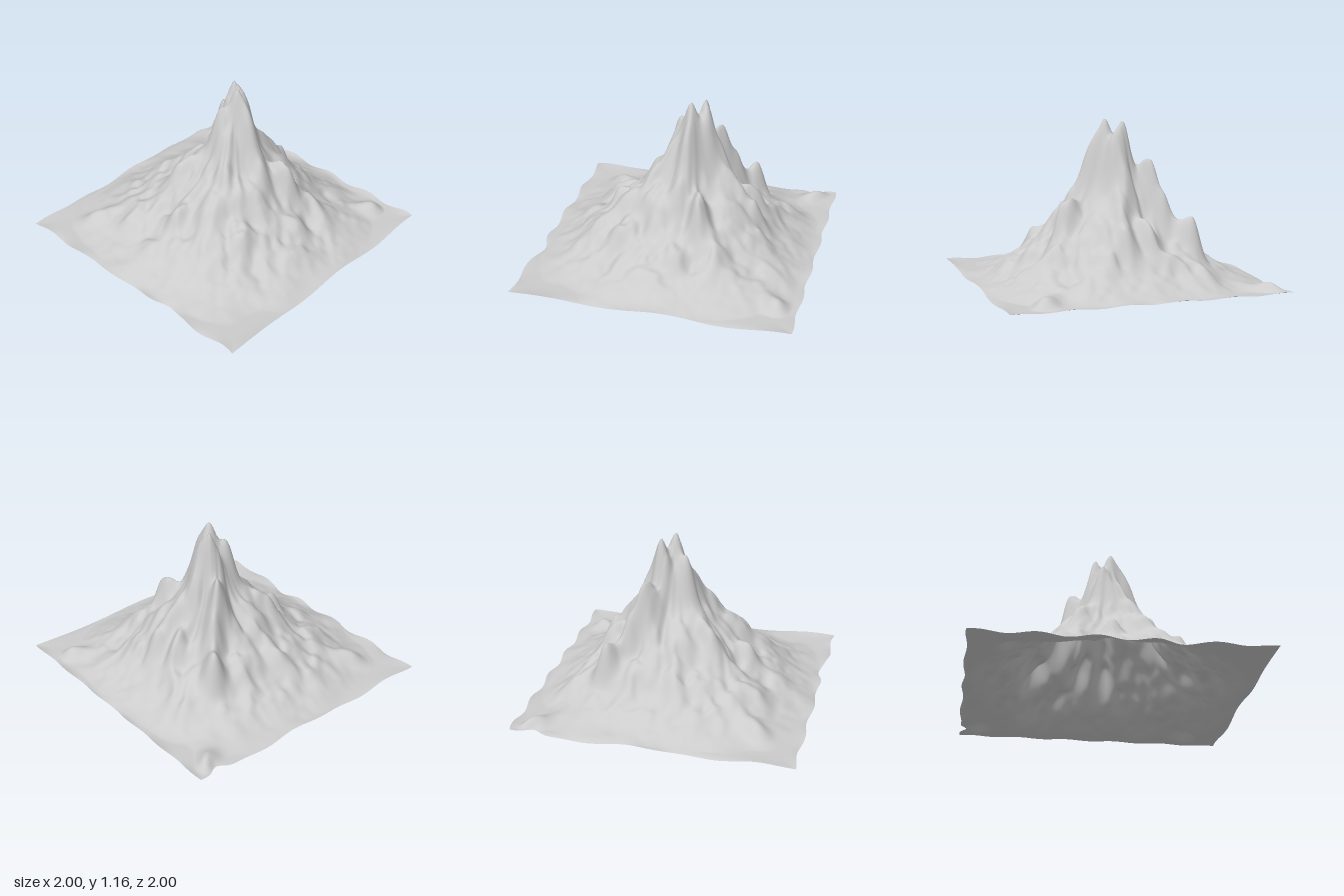
import * as THREE from 'three';

const CX = 0.06, CZ = 0.03; // centre of the massif

// Seeded lattice noise, smooth, in -1..1
function hash(i, j) {
  let h = Math.imul(i, 374761393) + Math.imul(j, 668265263) + 1013;
  h = Math.imul(h ^ (h >>> 13), 1274126177);
  return ((h ^ (h >>> 16)) >>> 0) / 2147483648 - 1;
}
function noise(x, y) {
  const i = Math.floor(x), j = Math.floor(y);
  const s = t => t * t * t * (t * (t * 6 - 15) + 10);
  const u = s(x - i), v = s(y - j), mix = THREE.MathUtils.lerp;
  return mix(mix(hash(i, j), hash(i + 1, j), u), mix(hash(i, j + 1), hash(i + 1, j + 1), u), v);
}

// Main summits, shoulders and foothills: x, z, height
const summits = [
  [-0.03, -0.03, 1.0], [0.19, 0.03, 0.94], [0.09, 0.12, 0.98], [0.16, -0.06, 1.06], [0.065, 0.045, 1.155],
  [0.07, 0.19, 0.87], [0.1, -0.1, 0.97], [-0.1, 0.06, 0.79], [0.28, -0.04, 0.79], [0.22, -0.23, 0.82],
  [0.06, 0.3, 0.67], [0.21, 0.42, 0.59], [-0.15, 0.3, 0.55], [0.36, 0.04, 0.63], [-0.2, 0.14, 0.63],
  [-0.28, -0.22, 0.53], [0.32, -0.3, 0.64], [0.45, -0.46, 0.49], [0.53, 0.06, 0.46], [0.5, -0.12, 0.47],
  [0.42, 0.18, 0.49], [-0.38, 0.18, 0.46], [-0.37, 0.46, 0.33], [-0.6, 0.22, 0.23], [-0.62, -0.37, 0.21],
  [0.7, -0.44, 0.18], [-0.12, 0.72, 0.18], [0.85, 0.72, 0.09], [-0.68, -0.68, 0.12], [0.85, -0.9, 0.08],
];

// Main cone, squared off towards the rim, with ridges and gullies
function slope(x, z) {
  const dx = x - CX, dz = z - CZ, r = Math.hypot(dx, dz);
  const u = Math.abs(dx) / (1 - Math.sign(dx) * CX), v = Math.abs(dz) / (1 - Math.sign(dz) * CZ);
  const d = Math.pow(u ** 2.5 + v ** 2.5, 0.4);
  const cone = 0.93 * Math.pow(Math.max(0, 1 - Math.hypot(d, 0.06) / 1.15), 1.9);
  const core = 0.1 * Math.exp(-((d / 0.16) ** 4));
  const a = Math.atan2(dz, dx) + 0.2 * noise(x * 4 + 9, z * 4);
  const rib = (f, o) => noise(Math.cos(a) * f + o + r * 1.5, Math.sin(a) * f - o + r);
  const ribs = 0.6 * rib(3, 5) + 0.4 * rib(6.5, 21);
  const rough = 0.6 * noise(x * 8 + 40, z * 8) + 0.35 * noise(x * 16, z * 16 + 30);
  const amp = Math.min(1, r * 4) * Math.min(1, cone * 4);
  return cone + core + amp * (0.05 * ribs + 0.05 * rough) + 0.012 * noise(x * 5, z * 5 + 70);
}

// Mounds run uphill into the massif, and are narrower the higher they stand
function mound(px, pz, top, x, z) {
  const a = Math.atan2(pz - CZ, px - CX), dx = x - px, dz = z - pz;
  const along = dx * Math.cos(a) + dz * Math.sin(a);
  const across = dz * Math.cos(a) - dx * Math.sin(a);
  const width = 0.08 - 0.02 * top;
  const length = width * (Math.hypot(px - CX, pz - CZ) < 0.2 ? 1 : along < 0 ? 1.7 : 1.1);
  return Math.exp(-((along / length) ** 2) - (across / width) ** 2);
}
function height(x, z, peaks) {
  return peaks.reduce((h, p) => h + p.gain * mound(p.x, p.z, p.top, x, z), slope(x, z));
}

function makePeaks() {
  const peaks = [];
  // Hillocks scattered in rings around the massif
  for (let ring = 0; ring < 3; ring++) {
    const count = 7 + ring * 2;
    for (let i = 0; i < count; i++) {
      const a = (i + ring * 0.4 + 0.3 * hash(i, ring)) * Math.PI * 2 / count;
      const r = 0.38 + ring * 0.18 + 0.05 * hash(i + 20, ring);
      peaks.push({ x: CX + r * Math.cos(a), z: CZ + r * Math.sin(a), top: 0.9 - ring * 0.2, gain: 0.06 - ring * 0.018 });
    }
  }
  // Raise each summit in turn to its own height
  for (const [x, z, top] of summits) peaks.push({ x, z, top, gain: top - height(x, z, peaks) });
  return peaks;
}

export function createModel() {
  const group = new THREE.Group();
  group.name = 'mountain';

  const peaks = makePeaks();
  const geometry = new THREE.PlaneGeometry(2, 2, 180, 180).rotateX(-Math.PI / 2);
  const pos = geometry.attributes.position;
  const dip = (t, c, w) => Math.exp(-(((t - c) / w) ** 2));
  for (let i = 0; i < pos.count; i++) {
    const x = pos.getX(i), z = pos.getZ(i);
    // Blend the slopes into a gently waving rim
    const rim = 0.012 + 0.012 * Math.sin(x * 7 + 1) + 0.008 * Math.sin(z * 17 - 1.83);
    const k = Math.max(Math.abs(x), Math.abs(z)) ** 24;
    const y = THREE.MathUtils.lerp(Math.max(0.015, height(x, z, peaks)), rim, k);
    // Wavy outline, with a notch in the back edge near its +x corner
    const insetX = x < 0
      ? 0.012 + 0.012 * Math.sin(z * 15 + 1) + 0.035 * dip(z, 0.35, 0.1)
      : 0.01 + 0.01 * Math.sin(z * 17 + 1.3);
    const insetZ = z < 0
      ? 0.008 + 0.008 * Math.sin(x * 14 - 1) + 0.055 * dip(x, 0.83, 0.07)
      : 0.005 + 0.005 * Math.sin(x * 9);
    pos.setXYZ(i, x - Math.sign(x) * x ** 8 * insetX, y, z - Math.sign(z) * z ** 8 * insetZ);
  }
  geometry.computeVertexNormals();

  const terrain = new THREE.Mesh(geometry,
    new THREE.MeshStandardMaterial({ color: 0xcccccc, side: THREE.DoubleSide }));
  terrain.name = 'mountainTerrain';
  group.add(terrain);
  return group;
}
